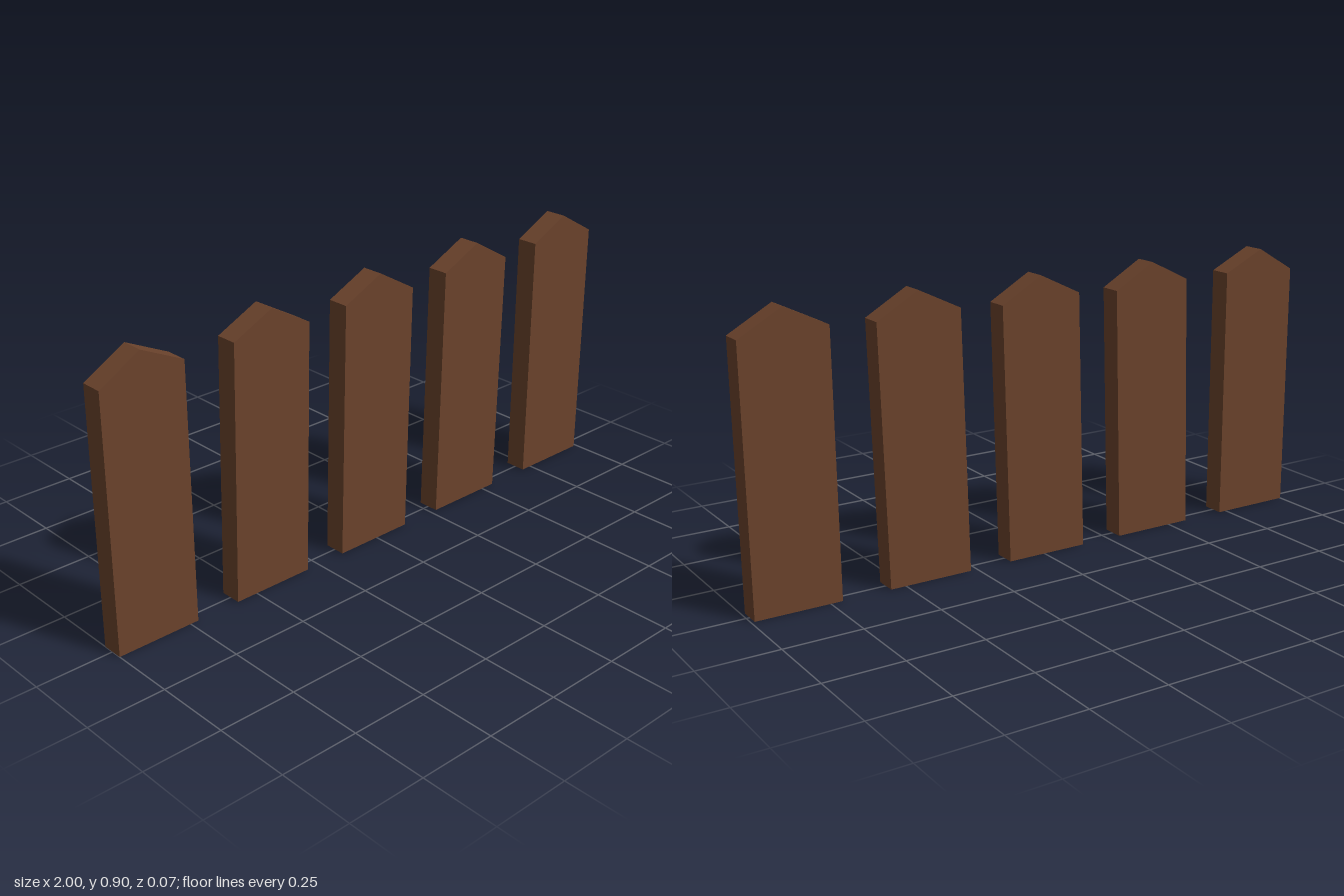
import * as THREE from 'three';

const DEPTH = 0.072;
const WIDTH = 0.278;

// Each picket: left foot x, left shoulder x, peak x, and the two shoulder heights
const PICKETS = [
  { foot: -1.0, shoulder: -0.998, peak: -0.862, leftY: 0.823, rightY: 0.834 },
  { foot: -0.573, shoulder: -0.549, peak: -0.409, leftY: 0.834, rightY: 0.823 },
  { foot: -0.15, shoulder: -0.127, peak: 0.014, leftY: 0.834, rightY: 0.823 },
  { foot: 0.273, shoulder: 0.296, peak: 0.437, leftY: 0.834, rightY: 0.823 },
  { foot: 0.711, shoulder: 0.72, peak: 0.859, leftY: 0.834, rightY: 0.823 },
];

// Drops the triangles lying on the ground, leaving the foot of the board hollow
function openFoot(geometry) {
  const p = geometry.attributes.position;
  const kept = [];
  for (let i = 0; i < p.count; i += 3) {
    const onGround = [0, 1, 2].every((k) => Math.abs(p.getY(i + k)) < 1e-5);
    if (onGround) continue;
    for (let k = 0; k < 3; k++) kept.push(p.getX(i + k), p.getY(i + k), p.getZ(i + k));
  }
  const open = new THREE.BufferGeometry();
  open.setAttribute('position', new THREE.Float32BufferAttribute(kept, 3));
  open.computeVertexNormals();
  return open;
}

// Slightly leaning board with a pointed top
function picketGeometry({ foot, shoulder, peak, leftY, rightY }) {
  const outline = new THREE.Shape([
    new THREE.Vector2(foot, 0),
    new THREE.Vector2(foot + WIDTH, 0),
    new THREE.Vector2(shoulder + WIDTH, rightY),
    new THREE.Vector2(peak, 0.902),
    new THREE.Vector2(shoulder, leftY),
  ]);
  const board = new THREE.ExtrudeGeometry(outline, { depth: DEPTH, bevelEnabled: false });
  board.translate(0, 0, -DEPTH / 2);
  return openFoot(board);
}

export function createModel() {
  const group = new THREE.Group();
  group.name = 'picketFence';
  const wood = new THREE.MeshStandardMaterial({ color: 0x6b432c, flatShading: true, side: THREE.DoubleSide });
  PICKETS.forEach((spec, i) => {
    const picket = new THREE.Mesh(picketGeometry(spec), wood);
    picket.name = `picket${i + 1}`;
    group.add(picket);
  });
  return group;
}
